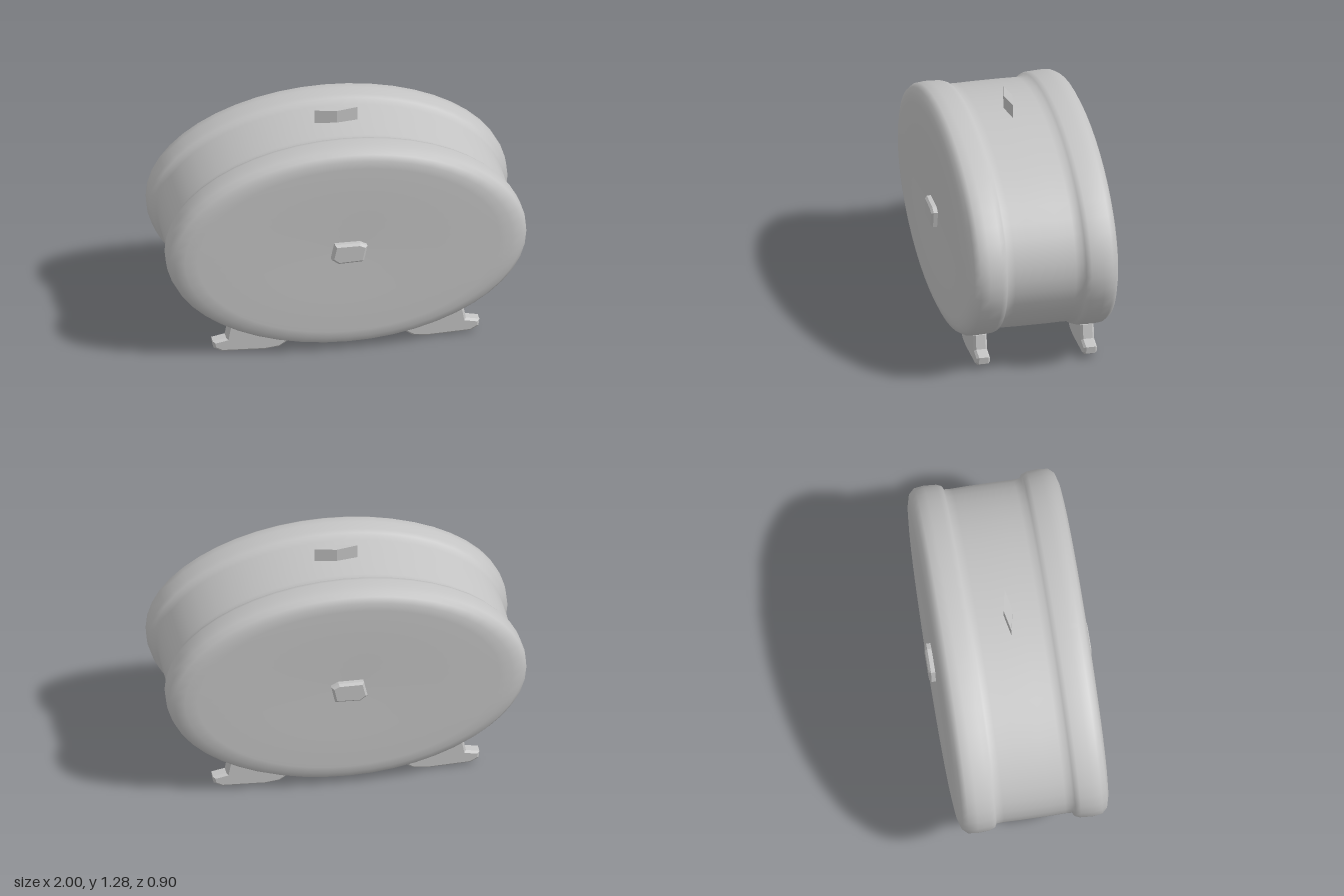
import * as THREE from 'three';

const CENTER_Y = 0.63;

// Extrude an outline, centred on z, with an optional bevel
function slab(points, depth, bevel) {
  const shape = new THREE.Shape(points.map(([x, y]) => new THREE.Vector2(x, y)));
  const geometry = new THREE.ExtrudeGeometry(shape, {
    depth: depth - 2 * bevel, bevelEnabled: bevel > 0,
    bevelThickness: bevel, bevelSize: bevel, bevelOffset: -bevel, bevelSegments: 1,
  });
  geometry.translate(0, 0, -(depth - 2 * bevel) / 2);
  return geometry;
}

export function createModel() {
  const model = new THREE.Group();
  const grey = new THREE.MeshStandardMaterial({ color: 0xc4c4c4 });
  grey.name = 'plain grey';

  function add(name, geometry, x = 0, y = 0, z = 0) {
    const mesh = new THREE.Mesh(geometry, grey);
    mesh.name = name;
    mesh.position.set(x, y, z);
    model.add(mesh);
    return mesh;
  }

  // Oval drum: radius and depth from the middle to one end, mirrored
  const half = [
    [0.962, 0.08], [0.96, 0.17], [0.962, 0.21], [0.983, 0.222], [0.995, 0.25],
    [1, 0.32], [0.993, 0.37], [0.965, 0.4], [0.91, 0.415], [0.84, 0.421],
    [0.5, 0.42], [0, 0.413],
  ];
  const profile = [
    ...half.map(([r, z]) => [r, -z]).reverse(),
    ...half,
  ].map(([r, z]) => new THREE.Vector2(r, z));
  const drum = new THREE.LatheGeometry(profile, 48);
  drum.rotateX(Math.PI / 2);
  drum.scale(1, 0.605, 1);
  add('drum', drum, 0, CENTER_Y, 0);

  // Thin diamond-shaped filler on top
  const filler = new THREE.CylinderGeometry(1, 1, 0.1, 4).toNonIndexed();
  filler.scale(0.12, 1, 0.025);
  filler.computeVertexNormals();
  add('fillerCap', filler, 0, 1.235, 0);

  // Small angular knob in the middle of each end
  const knob = slab([
    [-0.1, -0.03], [-0.06, -0.06], [0.08, -0.055], [0.1, 0.04], [0.06, 0.06], [-0.08, 0.06],
  ], 0.08, 0.012);
  for (const side of [1, -1]) {
    add(side > 0 ? 'frontKnob' : 'backKnob', knob, 0, 0.62, side * 0.41);
  }

  // Four feet with upturned toes, hugging the underside of the drum
  const foot = slab([
    [0.3, 0.055], [0.37, 0.01], [0.45, 0], [0.69, 0.01], [0.735, 0.035], [0.74, 0.075],
    [0.665, 0.09], [0.65, 0.17], [0.6, 0.2], [0.45, 0.15], [0.32, 0.09],
  ], 0.075, 0.012);
  for (const side of [1, -1]) {
    for (const end of [1, -1]) {
      const name = (end > 0 ? 'front' : 'back') + (side > 0 ? 'Left' : 'Right') + 'Foot';
      const mesh = add(name, foot, 0, 0, end * 0.3);
      mesh.rotation.y = side > 0 ? 0 : Math.PI;
    }
  }

  return model;
}
